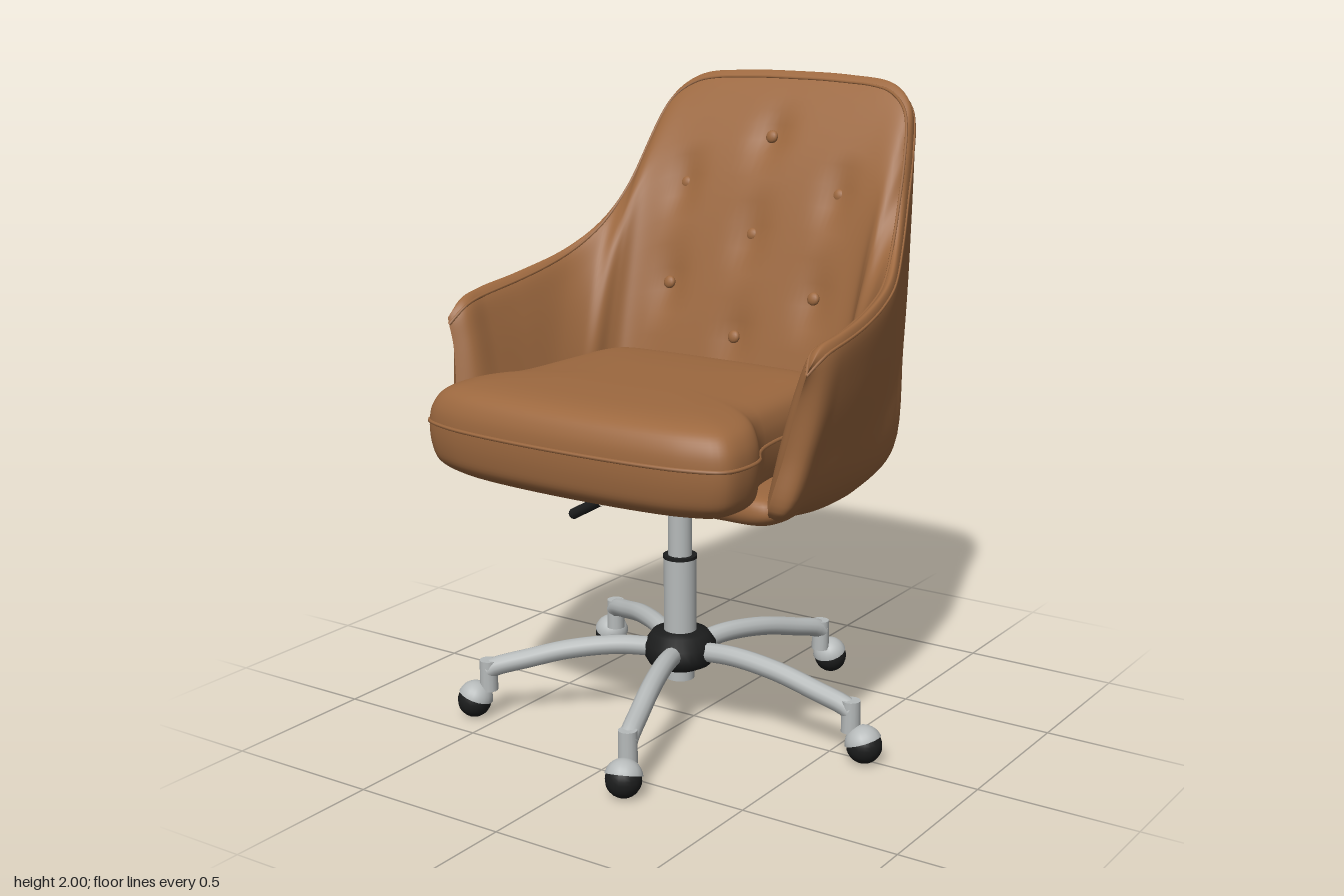
import * as THREE from 'three';

const V = (x, y, z) => new THREE.Vector3(x, y, z);
const leather = new THREE.MeshStandardMaterial({ name: 'brownLeather', color: 0x9c683f });
const silver = new THREE.MeshStandardMaterial({ name: 'silverMetal', color: 0xb6baba });
const black = new THREE.MeshStandardMaterial({ name: 'blackPlastic', color: 0x1c1d1d });

function part(name, geometry, material, x = 0, y = 0, z = 0) {
  const mesh = new THREE.Mesh(geometry, material);
  mesh.name = name;
  mesh.position.set(x, y, z);
  return mesh;
}

// Smooth skin over columns of points; columns run left front, back, right front
function skin(cols, closed = false) {
  const m = cols[0].length, n = cols.length, index = [];
  for (let i = 0; i < (closed ? n : n - 1); i++) {
    for (let j = 0; j < m - 1; j++) {
      const a = i * m + j, b = ((i + 1) % n) * m + j;
      index.push(a, a + 1, b, b, a + 1, b + 1);
    }
  }
  const g = new THREE.BufferGeometry().setFromPoints(cols.flat());
  g.setIndex(index);
  g.computeVertexNormals();
  return g;
}

const sample = (pts, n) => new THREE.CatmullRomCurve3(pts).getPoints(n);
const piping = (pts, r, closed = false) =>
  new THREE.TubeGeometry(new THREE.CatmullRomCurve3(pts, closed), 160, r, 6, closed);

// Closed plan loop mirrored from a half outline [x, z]
function planLoop(half, n) {
  const pts = [...half.map(([x, z]) => V(-x, 0, z)),
    ...half.slice(1, -1).reverse().map(([x, z]) => V(x, 0, z))];
  return new THREE.CatmullRomCurve3(pts, true).getPoints(n).slice(0, n);
}

// Pad made of stacked plan loops; layers are [y, scale]
function pad(loop, layers, cz) {
  return skin(loop.map(p => sample(layers.map(([y, s]) =>
    V(p.x * s, y, cz + (p.z - cz) * s)), layers.length * 4)), true);
}

// Buttons, relative to the shell centre
const buttons = [[0, 1.8], [-0.285, 1.64], [0.285, 1.64], [0, 1.5],
  [-0.27, 1.33], [0.27, 1.33], [0, 1.185]].map(([x, y]) => [x - 0.012, y]);

function shellGrid() {
  // rim x, y, z | outer base x, z | inner seat line x, z
  const half = [
    [0, 2, -0.65, 0, -0.52, 0, -0.2],
    [0.2, 1.996, -0.647, 0.2, -0.518, 0.2, -0.2],
    [0.355, 1.978, -0.635, 0.34, -0.51, 0.33, -0.195],
    [0.435, 1.92, -0.597, 0.44, -0.48, 0.4, -0.18],
    [0.475, 1.8, -0.53, 0.5, -0.42, 0.43, -0.14],
    [0.503, 1.66, -0.45, 0.525, -0.34, 0.44, -0.08],
    [0.547, 1.52, -0.33, 0.55, -0.22, 0.45, -0.02],
    [0.595, 1.435, -0.19, 0.567, -0.1, 0.46, 0.06],
    [0.635, 1.38, 0.03, 0.585, 0.1, 0.47, 0.15],
    [0.65, 1.355, 0.2, 0.59, 0.28, 0.485, 0.26],
    [0.645, 1.335, 0.295, 0.597, 0.39, 0.51, 0.35],
  ];
  const column = ([rx, ry, rz, bx, bz, ix, iz]) => {
    const out = V(rx - ix, 0, rz - iz).normalize();
    const at = (p, d, dy = 0) => p.clone().addScaledVector(out, d).add(V(0, dy, 0));
    const rim = V(rx, ry, rz), base = V(bx, 0.87, bz), seat = V(ix, 0.89, iz);
    const centre = V(0, 0.81, 0.4);
    const curl = V(bx * 0.87, 0.775 + Math.max(0, bz) * 0.13, bz * 0.92);
    const rimOut = at(rim, 0.015, -0.022), rimIn = at(rim, -0.03, -0.02);
    // Padding is thickest on the backrest
    const puff = 0.012 + 0.05 * THREE.MathUtils.smoothstep(ry, 1.42, 1.75);
    return [centre, curl.clone().lerp(centre, 0.2), curl, base,
      at(base.clone().lerp(rimOut, 0.35), 0.018), at(base.clone().lerp(rimOut, 0.7), 0.018),
      rimOut, rim, rimIn,
      at(rimIn.clone().lerp(seat, 0.22), -puff), at(rimIn.clone().lerp(seat, 0.62), -puff * 0.8), seat];
  };
  const cols = half.map(column);
  // Rounded front end of the arm: outer and inner walls meet
  const last = cols[cols.length - 1];
  cols.push(last.map((p, k) => {
    if (k < 3) return p.clone();
    const top = k > 5 && k < 9;
    return p.clone().lerp(last[14 - k], 0.5).add(V(0, top ? -0.05 : 0, top ? 0.065 : 0.05));
  }));
  const mirrored = cols.slice(1).reverse().map(c => c.map(p => V(-p.x, p.y, p.z)));
  const across = [...mirrored, ...cols].map(c => sample(c, 66));
  const rows = across[0].map((_, j) => sample(across.map(c => c[j]), 176));
  return rows[0].map((_, i) => rows.map(r => r[i]));
}

function createBody() {
  const body = new THREE.Group();
  body.name = 'upholstery';
  const grid = shellGrid();
  const inner = grid.flatMap(c => c.slice(50)).filter(p => p.z < -0.2 && Math.abs(p.x) < 0.42);
  // Tufted dents around each button
  for (const p of inner) {
    for (const [x, y] of buttons) {
      const d2 = (p.x - x) ** 2 + (p.y - y) ** 2;
      p.z -= 0.028 * Math.exp(-d2 / 0.003);
    }
  }
  body.add(part('shell', skin(grid), leather));
  for (const j of [36, 48]) {
    body.add(part('rimPiping', piping(grid.filter((_, i) => i % 4 === 0).map(c => c[j]), 0.005), leather));
  }
  for (const [x, y] of buttons) {
    const near = inner.reduce((a, p) =>
      Math.hypot(p.x - x, p.y - y) < Math.hypot(a.x - x, a.y - y) ? p : a);
    const b = part('tuftButton', new THREE.SphereGeometry(0.021, 14, 10), leather, x, y, near.z + 0.006);
    b.scale.z = 0.6;
    b.rotation.x = -0.3;
    body.add(b);
  }

  // Base below the cushion
  const baseLoop = planLoop([[0, 0.42], [0.4, 0.415], [0.54, 0.4], [0.57, 0.34],
    [0.54, 0.1], [0.46, -0.28], [0.34, -0.4], [0, -0.42]], 80);
  body.add(part('seatBase', pad(baseLoop,
    [[0.815, 0], [0.815, 0.8], [0.82, 0.95], [0.85, 1], [0.885, 0.98], [0.905, 0.85], [0.905, 0]], 0.1), leather));

  // Seat cushion, wider in front of the arms
  const loop = planLoop([[0, 0.655], [0.3, 0.642], [0.44, 0.618], [0.53, 0.575], [0.55, 0.5], [0.54, 0.42],
    [0.5, 0.355], [0.475, 0.28], [0.455, 0], [0.44, -0.17], [0.4, -0.235], [0.25, -0.255], [0, -0.26]], 120);
  const cushion = part('seatCushion', pad(loop,
    [[0.858, 0], [0.858, 0.7], [0.866, 0.87], [0.9, 0.96], [0.95, 0.99], [1.02, 0.997],
      [1.07, 0.98], [1.11, 0.93], [1.135, 0.82], [1.15, 0.45], [1.153, 0]], 0.2), leather, -0.015);
  const seam = loop.filter((_, i) => i % 2 === 0).map(p => V(p.x * 0.998, 1.02, 0.2 + (p.z - 0.2) * 0.998));
  body.add(cushion, part('cushionPiping', piping(seam, 0.006, true), leather, -0.015));
  body.position.x = -0.027;
  return body;
}

function createLeg() {
  const leg = new THREE.Group();
  leg.name = 'leg';
  const path = new THREE.CatmullRomCurve3([V(0.06, 0.23, 0), V(0.2, 0.24, 0), V(0.36, 0.225, 0),
    V(0.5, 0.193, 0), V(0.6, 0.168, 0), V(0.625, 0.155, 0)]);
  leg.add(part('legArm', new THREE.TubeGeometry(path, 24, 0.031, 12), silver));
  leg.add(part('casterPost', new THREE.CylinderGeometry(0.029, 0.03, 0.1, 14), silver, 0.622, 0.14, 0));
  // Caster: silver hood over a black wheel
  const hood = part('casterHood', new THREE.SphereGeometry(0.058, 18, 12, 0, Math.PI * 2, 0, Math.PI * 0.45),
    silver, 0.668, 0.06, 0);
  hood.rotation.z = 0.35;
  const wheel = part('casterWheel', new THREE.SphereGeometry(0.055, 18, 14), black, 0.67, 0.055, 0);
  leg.add(hood, wheel);
  return leg;
}

function createBase() {
  const base = new THREE.Group();
  base.name = 'swivelBase';
  const cyl = (name, r, y0, y1, mat) =>
    base.add(part(name, new THREE.CylinderGeometry(r, r, y1 - y0, 28), mat, 0, (y0 + y1) / 2, 0));
  // Five legs, slightly shorter fore and aft
  for (let i = 0; i < 5; i++) {
    const a = i * Math.PI * 2 / 5, dx = Math.cos(a), dz = 0.945 * Math.sin(a);
    const leg = createLeg();
    leg.rotation.y = -Math.atan2(dz, dx);
    leg.scale.x = Math.hypot(dx, dz);
    base.add(leg);
  }
  const hub = [[0, 0.17], [0.07, 0.17], [0.1, 0.185], [0.114, 0.21], [0.114, 0.25], [0.09, 0.285], [0.05, 0.293], [0, 0.293]];
  base.add(part('hub', new THREE.LatheGeometry(hub.map(p => new THREE.Vector2(...p)), 28), black));
  cyl('columnFoot', 0.045, 0.13, 0.2, silver);
  cyl('columnSleeve', 0.052, 0.28, 0.535, silver);
  cyl('sleeveCollar', 0.054, 0.53, 0.54, black);
  cyl('gasLift', 0.038, 0.53, 0.71, silver);
  cyl('liftSocket', 0.057, 0.69, 0.75, black);

  // Tilt mechanism and tapered under-seat plate
  const tilt = part('tiltMechanism', new THREE.BoxGeometry(0.31, 0.04, 0.39), black, 0, 0.765, 0);
  tilt.rotation.x = -0.06;
  const outline = new THREE.Shape([[-0.445, -0.3], [0.445, -0.3], [0.375, 0.34], [-0.375, 0.34]]
    .map(p => new THREE.Vector2(...p)));
  const plate = part('underPlate', new THREE.ExtrudeGeometry(outline, { depth: 0.035, bevelEnabled: false }),
    black, 0, 0.78, 0);
  plate.rotation.x = -Math.PI / 2 - 0.05;
  base.add(tilt, plate);

  // Height lever
  const rod = (name, a, b, r) => base.add(part(name,
    new THREE.TubeGeometry(new THREE.LineCurve3(a, b), 1, r, 10), black));
  rod('leverRod', V(-0.1, 0.78, 0), V(-0.33, 0.65, 0), 0.009);
  rod('leverHandle', V(-0.31, 0.663, 0), V(-0.415, 0.603, 0), 0.018);
  base.add(part('leverTip', new THREE.SphereGeometry(0.018, 10, 8), black, -0.415, 0.603, 0));
  base.position.set(-0.042, 0, 0.015);
  return base;
}

export function createModel() {
  const model = new THREE.Group();
  model.name = 'officeChair';
  model.add(createBody(), createBase());
  return model;
}
